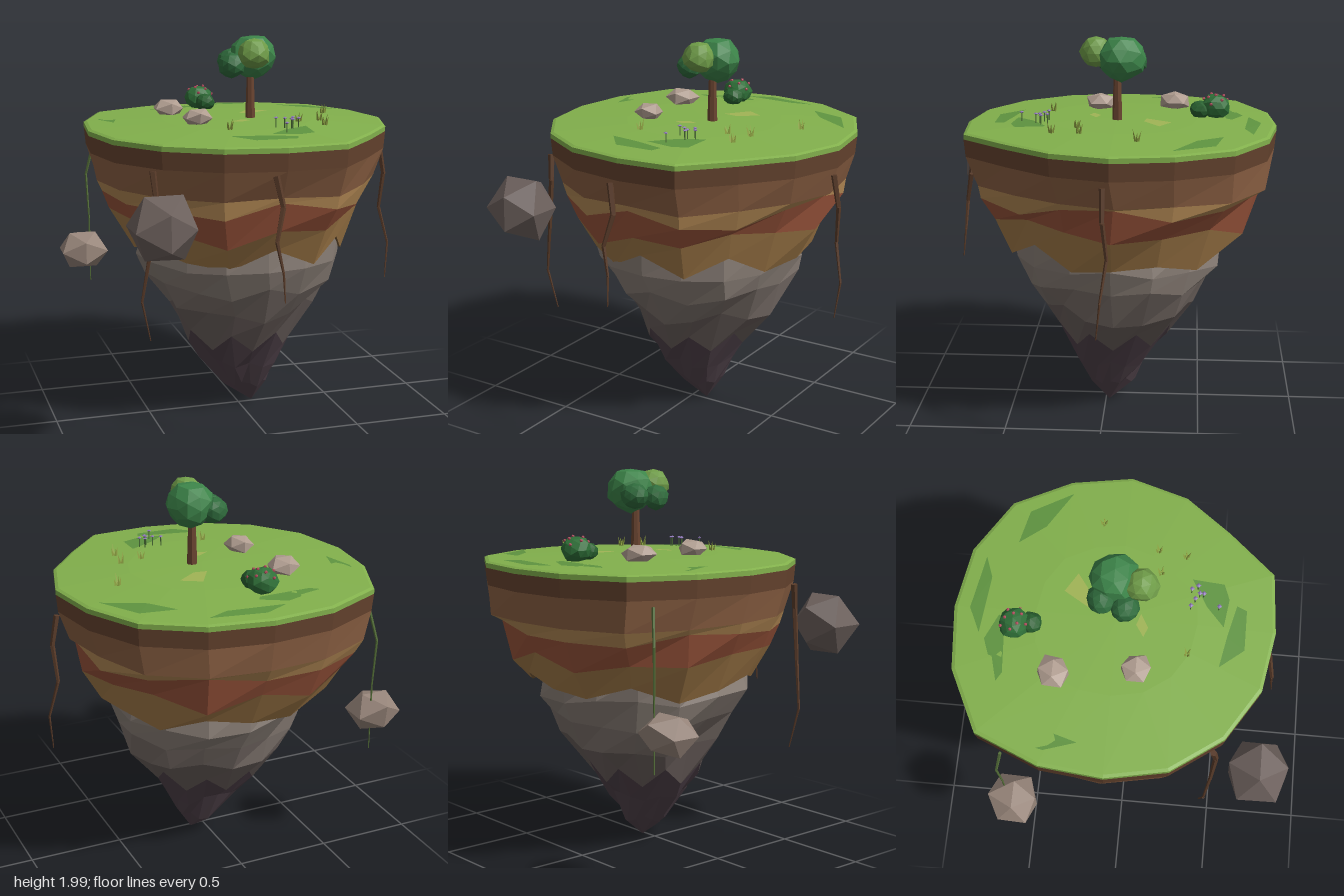
import * as THREE from 'three';

const SIDES = 16;
const CX = 0.03, CZ = -0.06;
// island outline: radius per corner, clockwise from the back
const RADII = [.82, .83, .84, .80, .79, .76, .74, .82, .78, .79, .80, .81, .81, .84, .905, .855];

const mat = (color, side = THREE.FrontSide) =>
  new THREE.MeshStandardMaterial({ color, flatShading: true, side });
const hash = (a, b = 0, c = 0) => {
  const s = Math.sin(a * 12.9898 + b * 78.233 + c * 37.719) * 43758.5453;
  return (s - Math.floor(s)) * 2 - 1;
};

function add(parent, name, geometry, color, pos = [0, 0, 0], side) {
  const m = new THREE.Mesh(geometry, mat(color, side));
  m.name = name;
  m.position.set(...pos);
  parent.add(m);
  return m;
}

// ring of corners; radius and height may be a number or a rule of the corner index
function ring(y, radius, cx = CX, cz = CZ) {
  return RADII.map((_, k) => {
    const a = k / SIDES * Math.PI * 2;
    const r = typeof radius === 'function' ? radius(k) : radius;
    return [cx + r * Math.sin(a), typeof y === 'function' ? y(k) : y, cz - r * Math.cos(a)];
  });
}

// flat-faced skin between rings listed from top to bottom
function skin(rings) {
  const p = [];
  for (let i = 0; i < rings.length - 1; i++) {
    const A = rings[i], B = rings[i + 1];
    for (let k = 0; k < SIDES; k++) {
      const n = (k + 1) % SIDES;
      p.push(...A[k], ...A[n], ...B[n], ...A[k], ...B[n], ...B[k]);
    }
  }
  const g = new THREE.BufferGeometry();
  g.setAttribute('position', new THREE.Float32BufferAttribute(p, 3));
  g.computeVertexNormals();
  return g;
}

// faceted lump with corners pushed in and out
function lump(r, detail, rough, seed, scale = [1, 1, 1]) {
  const g = new THREE.IcosahedronGeometry(r, detail);
  const p = g.attributes.position, v = new THREE.Vector3();
  for (let i = 0; i < p.count; i++) {
    v.fromBufferAttribute(p, i);
    const q = [v.x, v.y, v.z].map(c => Math.round(c / r * 100) / 100 + 0);
    v.multiplyScalar(1 + rough * hash(q[0] + seed, q[1], q[2]));
    p.setXYZ(i, v.x * scale[0], v.y * scale[1], v.z * scale[2]);
  }
  g.computeVertexNormals();
  return g;
}

// tapered kinked strand through points
function strand(parent, name, pts, r0, r1, color) {
  const group = new THREE.Group();
  group.name = name;
  const n = pts.length - 1;
  for (let i = 0; i < n; i++) {
    const a = new THREE.Vector3(...pts[i]), b = new THREE.Vector3(...pts[i + 1]);
    const d = b.clone().sub(a);
    const g = new THREE.CylinderGeometry(r0 + (r1 - r0) * (i + 1) / n, r0 + (r1 - r0) * i / n, d.length(), 5);
    const m = add(group, name + 'Segment', g, color);
    m.quaternion.setFromUnitVectors(new THREE.Vector3(0, 1, 0), d.clone().normalize());
    m.position.copy(a.add(b).multiplyScalar(0.5));
  }
  parent.add(group);
}

// height of the domed lawn
function groundY(x, z) {
  const f = Math.hypot(x - CX, z - CZ) / 0.8;
  return f < 0.5 ? 1.56 - 0.01 * f : 1.555 - (f - 0.5) * 0.051;
}

function patch(parent, pts, color) {
  const g = new THREE.ShapeGeometry(new THREE.Shape(pts.map(([x, z]) => new THREE.Vector2(x, -z))));
  g.rotateX(-Math.PI / 2);
  const p = g.attributes.position;
  for (let i = 0; i < p.count; i++) p.setY(i, groundY(p.getX(i), p.getZ(i)) + 0.004);
  g.computeVertexNormals();
  add(parent, 'grassPatch', g, color, [0, 0, 0], THREE.DoubleSide);
}

export function createModel() {
  const island = new THREE.Group();
  island.name = 'floatingIsland';
  const outline = (s, j = 0, seed = 0) => k => RADII[k] * s * (1 + j * hash(k, seed));

  // lawn
  const edge = ring(1.5, outline(1));
  add(island, 'lawn', skin([ring(1.56, 0), ring(1.555, outline(0.5)), ring(1.532, outline(0.98)),
    ring(1.525, outline(1)), edge]), 0x82b04c);

  // soil layers
  const redTop = [1.2, 1.24, 1.22, 1.2, 1.26, 1.24, 1.17, 1.2, 1.25, 1.17, 1.2, 1.2, 1.22, 1.24, 1.19, 1.2];
  const redLow = [1.1, 1.02, 1.1, 1.08, 1.07, 1.1, 1.12, 1.07, 1.09, 1.0, 1.07, 1.1, 1.1, 1.06, 1.08, 1.03];
  const soilLow = [.9, .95, .87, .92, .9, .87, .98, .88, .98, .87, .9, .95, .9, .86, .96, .88];
  const soil = [edge,
    ring(1.41, outline(0.99)),
    ring(k => 1.262 + 0.008 * hash(k, 3), outline(0.945, 0.02, 4), CX, CZ - 0.02),
    ring(k => redTop[k] - 0.01, outline(0.905, 0.02, 5), CX, CZ - 0.015),
    ring(k => redLow[k], outline(0.83, 0.03, 6), CX, CZ),
    ring(k => soilLow[k], k => RADII[k] * (0.72 + (soilLow[k] - 0.9) * 0.5), CX, CZ),
    ring(1.0, 0.3)];
  [['topsoil', 0x65432e], ['brownSoil', 0x8a5f42], ['paleClay', 0xb18753], ['redClay', 0x98533a],
    ['sandyClay', 0xa27a48], ['soilUnderside', 0x7a5c38]]
    .forEach(([name, color], i) => add(island, name, skin([soil[i], soil[i + 1]]), color));

  // hanging rock, narrowing to an off-centre tip
  const rockRing = (y, r, cx, cz, jy, jr, seed) =>
    ring(k => y + jy * hash(k, seed), k => r * (1 + jr * hash(k, seed + 20)), cx, cz);
  const rock = [
    ring(1.02, 0.3),
    rockRing(0.97, 0.54, 0.01, -0.05, 0.02, 0.04, 1),
    rockRing(0.85, 0.56, 0.01, -0.05, 0.03, 0.05, 2),
    rockRing(0.73, 0.49, 0.03, -0.05, 0.04, 0.07, 3),
    rockRing(0.58, 0.41, 0.04, -0.06, 0.04, 0.09, 4),
    ring(k => 0.41 + (k % 2 ? 0.05 : -0.05), k => 0.3 * (k % 2 ? 1.07 : 0.92), 0.01, -0.05),
    rockRing(0.26, 0.205, 0.015, -0.035, 0.03, 0.12, 6),
    rockRing(0.12, 0.115, 0.04, -0.03, 0.02, 0.12, 7),
    ring(0, 0, 0.08, -0.02)];
  add(island, 'upperRock', skin(rock.slice(0, 4)), 0x887d75);
  add(island, 'middleRock', skin(rock.slice(3, 5)), 0x7b706a);
  add(island, 'lowerRock', skin(rock.slice(4, 6)), 0x685d5a);
  add(island, 'rockTip', skin(rock.slice(5)), 0x4e4048);

  // darker and lighter patches of grass
  [[[-.35, -.63], [-.13, -.71], [0, -.65], [-.02, -.62], [-.3, -.6]],
    [[-.1, -.74], [.03, -.8], [.31, -.75], [.2, -.71]],
    [[.4, -.6], [.58, -.56], [.7, -.35], [.5, -.47]],
    [[-.53, -.67], [-.53, -.5], [-.62, -.2], [-.67, -.36], [-.61, -.64]],
    [[-.18, .45], [-.02, .48], [.15, .52], [.13, .57], [-.08, .57]],
    [[.13, .37], [.27, .29], [.26, .45], [.18, .48], [.03, .46]]].forEach(p => patch(island, p, 0x5f9440));
  [[[.07, -.21], [.15, -.34], [.25, -.28], [.14, -.2]],
    [[-.06, .07], [0, .03], [.06, .05], [-.01, .09]]].forEach(p => patch(island, p, 0xa0b455));

  // tree
  const tree = new THREE.Group();
  tree.name = 'tree';
  island.add(tree);
  add(tree, 'trunk', new THREE.CylinderGeometry(0.018, 0.027, 0.28, 7), 0x6a4430, [0.085, 1.69, -0.06]);
  [[.1, 1.875, -.08, .122, 0x3c8449], [-.03, 1.84, -.02, .068, 0x2f6b3c], [.0, 1.85, -.14, .07, 0x2f6b3c],
    [.07, 1.905, .05, .083, 0x6f9c48]].forEach(([x, y, z, r, c], i) =>
    add(tree, 'foliage', lump(r, 1, 0.07, i, [1, 0.96, 1]), c, [x, y, z]));

  // berry bush
  const bush = new THREE.Group();
  bush.name = 'berryBush';
  island.add(bush);
  add(bush, 'bushLeaves', lump(0.077, 1, 0.08, 7, [1, .85, 1]), 0x2f7038, [-.06, 1.605, -.565]);
  add(bush, 'bushLeaves', lump(0.055, 1, 0.08, 8, [1, .85, 1]), 0x28602f, [-.045, 1.59, -.485]);
  for (let i = 0; i < 9; i++) {
    const a = i * 2.4, t = 0.35 + 0.11 * i;
    add(bush, 'berry', new THREE.IcosahedronGeometry(0.009, 0), 0xb04a5c,
      [-.06 + .076 * Math.sin(t) * Math.cos(a), 1.605 + .068 * Math.cos(t), -.565 + .076 * Math.sin(t) * Math.sin(a)]);
  }

  // stones on the lawn and boulders floating beside the island
  add(island, 'stone', lump(.088, 0, .1, 2, [1, .6, .95]), 0xb09d90, [-.285, 1.587, -.35]);
  add(island, 'stone', lump(.078, 0, .1, 5, [1, .65, 1]), 0xb09d90, [-.235, 1.587, .05]);
  add(island, 'largeBoulder', lump(.178, 0, .09, 3), 0x6c605c, [-.575, 1.175, .7]);
  add(island, 'smallBoulder', lump(.145, 0, .09, 6, [1, .82, 1]), 0x97857a, [-.74, .785, -.55]);

  // grass tufts
  [[.54, -.18], [.41, .11], [.29, .13], [.39, .25], [-.13, .29]].forEach(([x, z], t) => {
    const tuft = new THREE.Group();
    tuft.name = 'grassTuft';
    tuft.position.set(x, groundY(x, z), z);
    for (let i = 0; i < 4; i++) {
      const a = i * 1.57 + t, h = 0.05 + 0.012 * hash(i, t);
      const blade = add(tuft, 'grassBlade', new THREE.ConeGeometry(0.008, h, 3), 0x93a845,
        [0.014 * Math.cos(a), h / 2, 0.014 * Math.sin(a)]);
      blade.rotation.set(0.25 * Math.sin(a), 0, -0.25 * Math.cos(a));
    }
    island.add(tuft);
  });

  // flowers
  [[.11, .29], [.15, .31], [.2, .29], [.22, .32], [.18, .35], [.18, .33], [.12, .43]].forEach(([x, z]) => {
    const flower = new THREE.Group();
    flower.name = 'flower';
    flower.position.set(x, groundY(x, z), z);
    add(flower, 'flowerStem', new THREE.CylinderGeometry(0.003, 0.003, 0.05, 4), 0x4c7038, [0, .025, 0]);
    add(flower, 'flowerHead', new THREE.OctahedronGeometry(0.013, 0), 0x8f78b8, [0, .05, 0]).scale.y = 0.5;
    island.add(flower);
  });

  // hanging roots and a vine
  const bark = 0x5a3c2a;
  strand(island, 'root', [[-.57, 1.4, .46], [-.56, 1.27, .48], [-.59, 1.0, .47], [-.63, .75, .45], [-.585, .54, .43]], .018, .003, bark);
  strand(island, 'root', [[-.025, 1.39, .70], [.005, 1.24, .72], [-.035, 1.08, .75], [-.005, .93, .76], [0, .78, .775]], .018, .003, bark);
  strand(island, 'root', [[.81, 1.38, -.03], [.84, 1.22, -.03], [.825, 1.03, -.05], [.87, .83, -.02], [.85, .64, 0]], .016, .003, bark);
  strand(island, 'vine', [[-.66, 1.38, -.58], [-.7, 1.2, -.61], [-.69, .95, -.6], [-.69, .59, -.6]], .009, .003, 0x56713a);

  return island;
}
